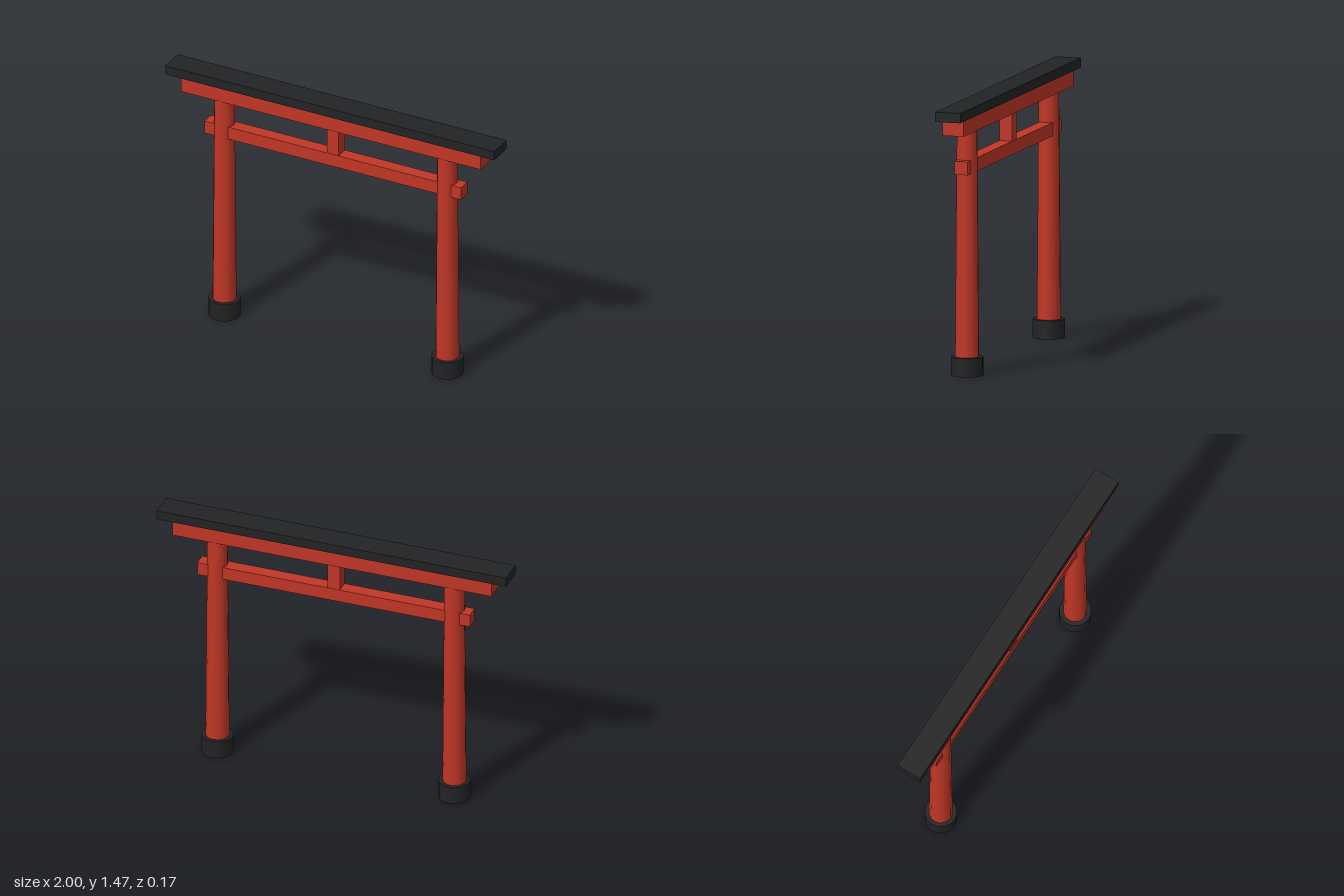
import * as THREE from 'three';

export function createModel() {
  const group = new THREE.Group();
  const red = new THREE.MeshStandardMaterial({ color: 0xc03626 });
  const black = new THREE.MeshStandardMaterial({ color: 0x222324 });

  const add = (name, geometry, material, x, y) => {
    const mesh = new THREE.Mesh(geometry, material);
    mesh.name = name;
    mesh.position.set(x, y, 0);
    group.add(mesh);
  };

  // Horizontal and vertical timbers, given by their bottom and top heights
  const beam = (name, material, width, bottom, top, depth) =>
    add(name, new THREE.BoxGeometry(width, top - bottom, depth), material, 0, (bottom + top) / 2);

  beam('topCap', black, 2, 1.42, 1.473, 0.143);
  beam('upperLintel', red, 1.824, 1.333, 1.42, 0.12);
  beam('tieBeam', red, 1.56, 1.102, 1.175, 0.075);
  beam('centreStrut', red, 0.07, 1.175, 1.333, 0.07);

  // Tapered pillars standing in round footings
  for (const [side, x] of [['left', 0.678], ['right', -0.678]]) {
    add(side + 'Pillar', new THREE.CylinderGeometry(0.055, 0.065, 1.331, 16), red, x, 0.6675);
    add(side + 'Footing', new THREE.CylinderGeometry(0.087, 0.087, 0.102, 16), black, x, 0.051);
  }

  return group;
}
